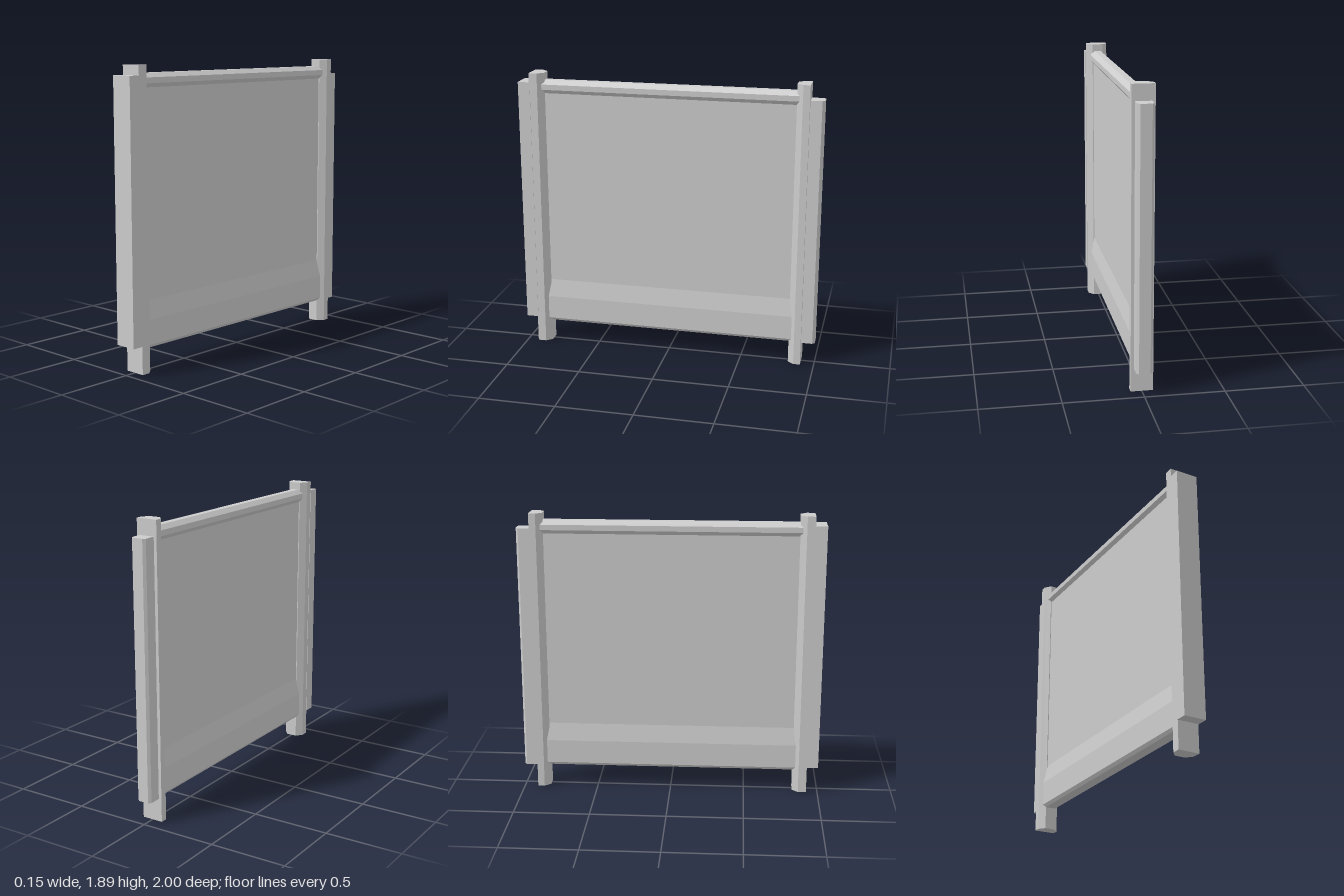
import * as THREE from 'three';

const material = new THREE.MeshStandardMaterial({ color: 0xcccccc, flatShading: true });

function outline(points) {
  return new THREE.Shape(points.map(([x, y]) => new THREE.Vector2(x, y)));
}

// Complete a right-hand half profile by mirroring it across the centre line
function mirrored(half) {
  return outline([...half, ...half.map(([x, y]) => [-x, y]).reverse()]);
}

// Upright bar: the cross-section is given as [x, z] pairs
function upright(name, half, bottom, top) {
  const shape = mirrored(half.map(([x, z]) => [x, -z]));
  const geometry = new THREE.ExtrudeGeometry(shape, { depth: top - bottom, bevelEnabled: false });
  geometry.rotateX(-Math.PI / 2);
  geometry.translate(0, bottom, 0);
  const mesh = new THREE.Mesh(geometry, material);
  mesh.name = name;
  return mesh;
}

// Horizontal member running between the posts
function span(name, half) {
  const from = -0.86, to = 0.87;
  const geometry = new THREE.ExtrudeGeometry(mirrored(half), { depth: to - from, bevelEnabled: false });
  geometry.translate(0, 0, from);
  const mesh = new THREE.Mesh(geometry, material);
  mesh.name = name;
  return mesh;
}

export function createModel() {
  const group = new THREE.Group();
  group.name = 'fencePanel';

  // Posts: flat on the outside, chamfered towards the panel
  group.add(upright('frontPost', [[0.07, 0.925], [0.07, 0.87], [0.035, 0.83]], 0, 1.89));
  group.add(upright('backPost', [[0.035, -0.825], [0.07, -0.865], [0.07, -0.91]], 0, 1.89));

  // Joining strips on the outer faces of the posts
  group.add(upright('frontJoiningStrip', [[0.073, 1.0], [0.073, 0.92]], 0.18, 1.83));
  group.add(upright('backJoiningStrip',
    [[0.05, -0.905], [0.05, -0.985], [0.035, -1.0]], 0.15, 1.79));

  // Rail with rounded shoulders along the top
  group.add(span('topRail',
    [[0.03, 1.755], [0.05, 1.78], [0.05, 1.815], [0.022, 1.842]]));

  // Thin infill sheet
  group.add(span('infillSheet', [[0.03, 0.42], [0.03, 1.78]]));

  // Thick kick board with a sloped upper edge
  group.add(span('kickBoard',
    [[0.035, 0.15], [0.05, 0.17], [0.05, 0.33], [0.03, 0.45]]));

  return group;
}
